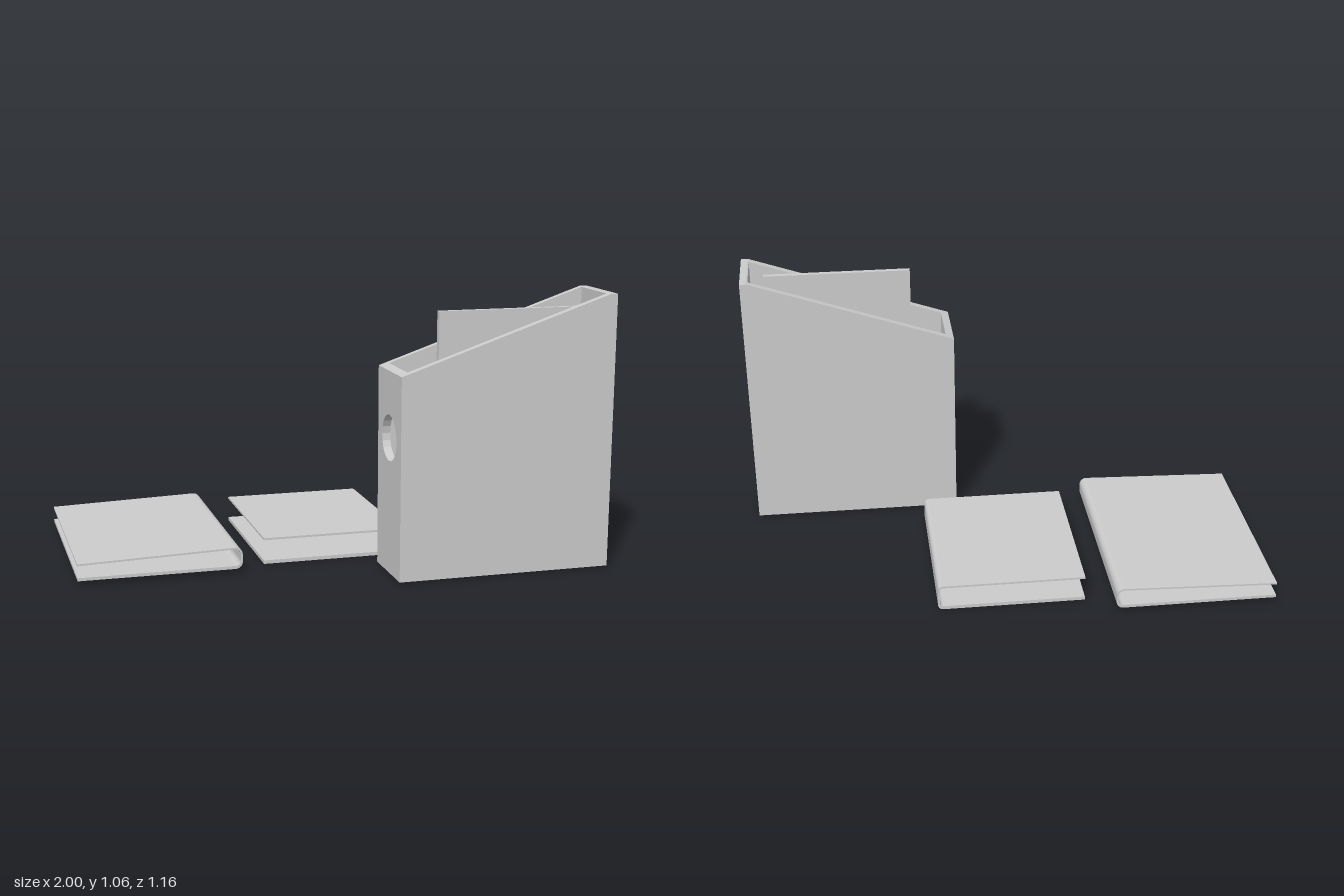
import * as THREE from 'three';

const material = new THREE.MeshStandardMaterial({ color: 0xcccccc, flatShading: true });

function add(parent, name, geometry) {
  const mesh = new THREE.Mesh(geometry, material);
  mesh.name = name;
  parent.add(mesh);
  return mesh;
}

// Extrudes an xy outline from z0 to z1
function slab(shape, z0, z1, curveSegments = 5) {
  return new THREE.ExtrudeGeometry(shape, { depth: z1 - z0, bevelEnabled: false, curveSegments })
    .translate(0, 0, z0);
}

function polygon(points) {
  return new THREE.Shape(points.map(([x, y]) => new THREE.Vector2(x, y)));
}

// Cover folded along a rounded spine at x1, open at x0
function foldedCover(name, { x0, x1, z0, z1, bottom, top, openTop, r, lower, upper }) {
  const s = new THREE.Shape();
  const t = upper, xi = x1 - t, ri = r - t;
  s.moveTo(x0, bottom);
  s.lineTo(x1 - r, bottom);
  s.absarc(x1 - r, bottom + r, r, -Math.PI / 2, 0, false);
  s.lineTo(x1, top - r);
  s.absarc(x1 - r, top - r, r, 0, Math.PI / 2, false);
  s.lineTo(x0, openTop);
  s.lineTo(x0, openTop - t);
  s.lineTo(xi - ri, top - t);
  s.absarc(xi - ri, top - t - ri, ri, Math.PI / 2, 0, true);
  s.lineTo(xi, bottom + lower + ri);
  s.absarc(xi - ri, bottom + lower + ri, ri, 0, -Math.PI / 2, true);
  s.lineTo(x0, bottom + lower);
  s.closePath();
  const group = new THREE.Group();
  group.name = name;
  add(group, name + 'Cover', slab(s, z0, z1));
  return group;
}

function magazineFile() {
  const file = new THREE.Group();
  file.name = 'magazineFile';
  const x0 = 0.155, x1 = 0.997, z0 = 0.298, z1 = 0.577, y0 = 0.01, w = 0.032;
  const rim = x => Math.min(1.06, 0.783 + (x - x0) * 0.277 / 0.815);

  // Sloping front and back panels
  const side = polygon([[x0, y0], [x1 - 0.005, y0], [x1, rim(x1)], [0.97, 1.06], [x0, rim(x0)]]);
  add(file, 'backPanel', slab(side, z0, z0 + 0.028));
  add(file, 'frontPanel', slab(side, z1 - w, z1));

  // Floor and tall end
  const zi0 = z0 + 0.028, zi1 = z1 - w;
  add(file, 'floor', slab(polygon([[x0 + w, y0], [x1 - w, y0], [x1 - w, y0 + w], [x0 + w, y0 + w]]), zi0, zi1));
  add(file, 'tallEnd', slab(polygon([[x1 - w, y0], [x1 - 0.005, y0], [x1, 1.06], [0.97, 1.06], [x1 - w, rim(x1 - w)]]), zi0, zi1));

  // Low end with a finger hole, its top edge following the slope
  const zc = (zi0 + zi1) / 2, h = (zi1 - zi0) / 2, yTop = rim(x0);
  const low = polygon([[-h, y0], [h, y0], [h, yTop], [-h, yTop]]);
  const hole = new THREE.Path();
  hole.absarc(0, 0.53, 0.088, 0, Math.PI * 2, true);
  low.holes.push(hole);
  const lowGeo = slab(low, 0, w, 10).rotateY(Math.PI / 2).translate(x0, 0, zc);
  const p = lowGeo.attributes.position;
  for (let i = 0; i < p.count; i++) {
    if (p.getY(i) > yTop - 0.001) p.setY(i, rim(p.getX(i)));
  }
  lowGeo.computeVertexNormals();
  add(file, 'lowEnd', lowGeo);

  // Upright document standing inside
  add(file, 'document', new THREE.BoxGeometry(0.595, 0.968, 0.022).translate(0.6125, 0.526, 0.509));
  return file;
}

export function createModel() {
  const model = new THREE.Group();
  model.name = 'fileAndFolders';
  model.add(magazineFile());
  model.add(foldedCover('largeFolder', {
    x0: -1, x1: -0.375, z0: -0.58, z1: 0.285,
    bottom: 0.021, top: 0.105, openTop: 0.086, r: 0.028, lower: 0.012, upper: 0.007
  }));
  model.add(foldedCover('smallFolder', {
    x0: -0.27, x1: 0.3, z0: -0.48, z1: 0.188,
    bottom: 0.002, top: 0.105, openTop: 0.105, r: 0.02, lower: 0.014, upper: 0.008
  }));
  return model;
}
